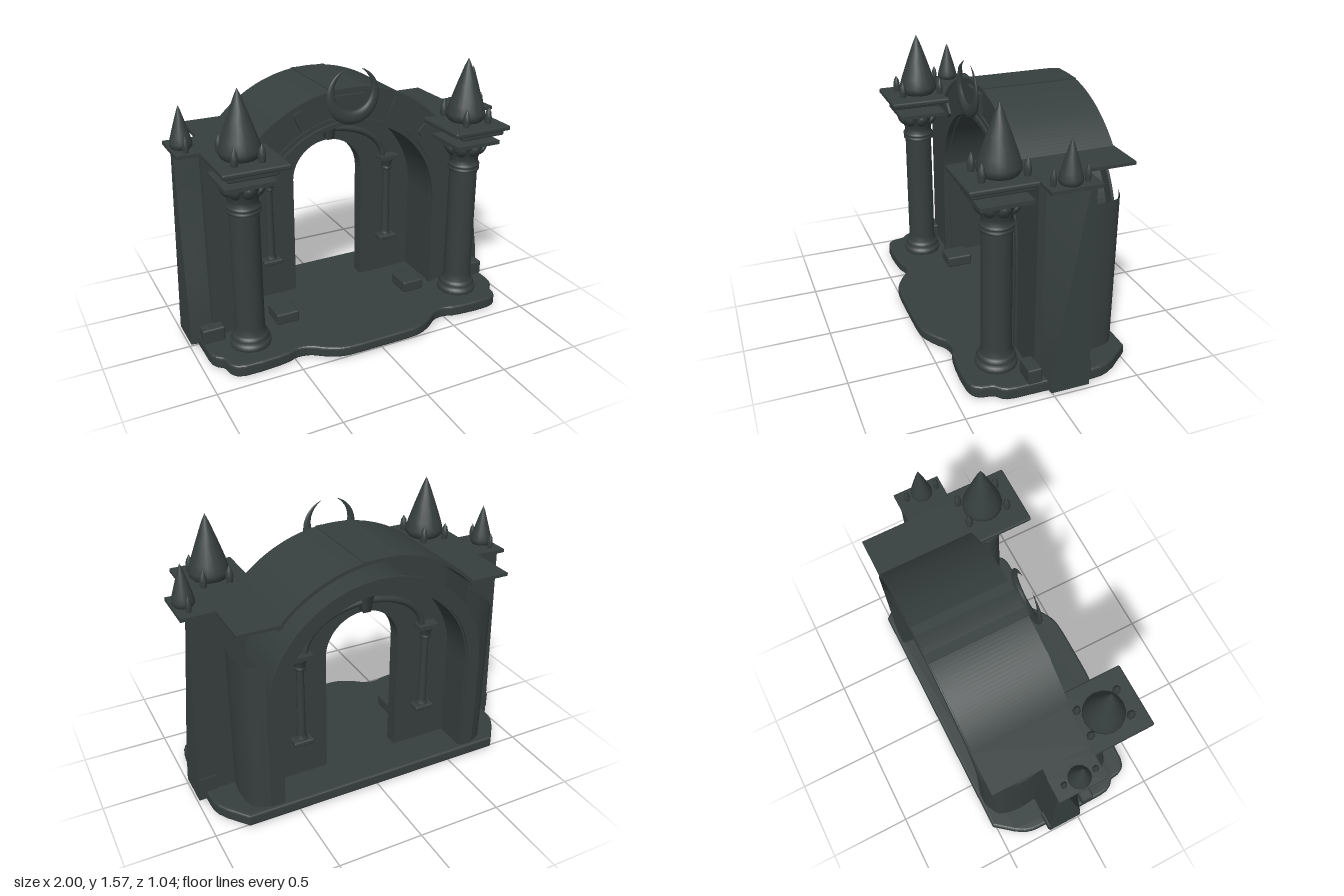
import * as THREE from 'three';
import { RoundedBoxGeometry } from 'three/addons/geometries/RoundedBoxGeometry.js';

const stone = new THREE.MeshStandardMaterial({ color: 0x363f3e, side: THREE.DoubleSide });
stone.name = 'dark slate stone';

const ARCH_Y = 0.66, ARCH_R = 0.59; // main arch
const ROOF_Y = 0.645, ROOF_R = 0.8, ROOF_A = 0.724; // vault curve and its end angle
const FLOOR = 0.075;

export function createModel() {
  const model = new THREE.Group();
  model.name = 'archedGateway';

  const add = (name, geo, x = 0, y = 0, z = 0, parent = model) => {
    const m = new THREE.Mesh(geo, stone);
    m.name = name;
    m.position.set(x, y, z);
    parent.add(m);
    return m;
  };
  const box = (name, w, h, d, x, y, z, parent) =>
    add(name, new THREE.BoxGeometry(w, h, d), x, y, z, parent);
  const lathe = (pts, seg = 24) =>
    new THREE.LatheGeometry(pts.map(([r, y]) => new THREE.Vector2(r, y)), seg);
  const extrude = (shape, depth) =>
    new THREE.ExtrudeGeometry(shape, { depth, bevelEnabled: false, curveSegments: 32 });

  // Closed band with legs following a round arch
  const archBand = (rIn, rOut, cy, y0) => {
    const s = new THREE.Shape();
    s.moveTo(rOut, y0);
    s.lineTo(rOut, cy);
    s.absarc(0, cy, rOut, 0, Math.PI, false);
    s.lineTo(-rOut, y0);
    s.lineTo(-rIn, y0);
    s.lineTo(-rIn, cy);
    s.absarc(0, cy, rIn, Math.PI, 0, true);
    s.lineTo(rIn, y0);
    return s;
  };

  // Floor slab with a bowed front step, its underside sagging towards both ends
  const half = [[0.14, 0.505], [0.25, 0.495], [0.34, 0.45], [0.41, 0.4], [0.49, 0.385], [0.56, 0.405], [0.83, 0.405],
    [0.865, 0.37], [0.88, 0.3], [0.925, 0.25], [0.935, 0.1], [0.935, -0.2], [0.92, -0.34], [0.8, -0.505]];
  const rim = new THREE.CatmullRomCurve3(half.map(([x, z]) => new THREE.Vector3(x, z, 0)), false, 'centripetal').getPoints(40);
  const outline = [...rim.map((v) => new THREE.Vector2(v.x, v.y)),
    ...rim.map((v) => new THREE.Vector2(-v.x, v.y)).reverse()];
  const slab = new THREE.ExtrudeGeometry(new THREE.Shape(outline),
    { depth: 0.045, bevelSize: 0.015, bevelThickness: 0.015, bevelSegments: 3 });
  slab.rotateX(Math.PI / 2);
  slab.translate(0, 0.06, 0);
  const sp = slab.attributes.position;
  for (let i = 0; i < sp.count; i++) {
    if (sp.getY(i) < 0.02) sp.setY(i, sp.getY(i) + 0.015 * Math.max(0, 1 - Math.abs(sp.getX(i)) / 0.935));
  }
  add('floorSlab', slab);

  // Front wall: flat shoulders, vault curve on top, arch cut out
  const front = new THREE.Shape();
  front.moveTo(0.87, 0.05);
  front.lineTo(0.87, 1.18);
  front.lineTo(0.6, 1.18);
  front.absarc(0, ROOF_Y, ROOF_R - 0.01, ROOF_A, Math.PI - ROOF_A, false);
  front.lineTo(-0.6, 1.18);
  front.lineTo(-0.87, 1.18);
  front.lineTo(-0.87, 0.05);
  front.lineTo(-ARCH_R, 0.05);
  front.lineTo(-ARCH_R, ARCH_Y);
  front.absarc(0, ARCH_Y, ARCH_R, Math.PI, 0, true);
  front.lineTo(ARCH_R, 0.05);
  add('frontFacade', extrude(front, 0.04), 0, 0, 0.025);

  // Rear arch face, tunnel lining and vault
  add('rearArchFace', extrude(archBand(ARCH_R, 0.67, ARCH_Y, 0.05), 0.015), 0, 0, -0.5);
  add('tunnelLining', extrude(archBand(ARCH_R - 0.01, ARCH_R + 0.01, ARCH_Y, 0.05), 0.53), 0, 0, -0.49);
  const roof = new THREE.Shape();
  roof.absarc(0, ROOF_Y, ROOF_R, ROOF_A, Math.PI - ROOF_A, false);
  roof.absarc(0, ROOF_Y, ROOF_R - 0.02, Math.PI - ROOF_A, ROOF_A, true);
  add('vaultRoof', extrude(roof, 0.57), 0, 0, -0.5);
  box('roofRidgeStrip', 0.22, 0.012, 0.57, 0, 1.437, -0.215);
  // Arch mouldings
  add('innerMoulding', extrude(archBand(0.575, 0.6, ARCH_Y, 0.07), 0.03), 0, 0, 0.055);
  add('outerMoulding', extrude(archBand(0.605, 0.63, ARCH_Y, 0.07), 0.015), 0, 0, 0.06);
  box('keystone', 0.2, 0.13, 0.03, 0, 1.345, 0.07);
  for (const a of [0.75, 1.13, Math.PI - 1.13, Math.PI - 0.75]) {
    const v = box('archBlock', 0.11, 0.05, 0.025, 0.7 * Math.cos(a), ARCH_Y + 0.7 * Math.sin(a), 0.067);
    v.rotation.z = a;
  }

  // Doorway wall set halfway into the tunnel
  const wall = new THREE.Shape();
  wall.moveTo(ARCH_R, 0.05);
  wall.lineTo(ARCH_R, ARCH_Y);
  wall.absarc(0, ARCH_Y, ARCH_R, 0, Math.PI, false);
  wall.lineTo(-ARCH_R, 0.05);
  wall.lineTo(-0.23, 0.05);
  wall.lineTo(-0.23, 0.82);
  wall.absarc(0, 0.82, 0.23, Math.PI, 0, true);
  wall.lineTo(0.23, 0.05);
  add('doorWall', extrude(wall, 0.08), 0, 0, -0.3);

  // Slender columns and round moulding on both faces of the doorway wall
  for (const z of [-0.195, -0.325]) {
    const hood = new THREE.Group();
    hood.name = 'doorSurround';
    hood.position.z = z;
    model.add(hood);
    const arc = [];
    for (let i = 0; i <= 16; i++) {
      const a = (i / 16) * Math.PI;
      arc.push(new THREE.Vector3(0.37 * Math.cos(a), 0.89 + 0.235 * Math.sin(a), 0));
    }
    add('hoodMoulding', new THREE.TubeGeometry(new THREE.CatmullRomCurve3(arc), 40, 0.02, 8), 0, 0, 0, hood);
    const key = add('hoodKeystone', new THREE.CylinderGeometry(0.048, 0.032, 0.1, 4), 0, 1.115, 0, hood);
    key.geometry.rotateY(Math.PI / 4);
    for (const s of [-1, 1]) {
      const x = 0.4 * s;
      add('slenderColumn', lathe([[0.035, 0.345], [0.035, 0.36], [0.025, 0.375], [0.021, 0.8],
        [0.033, 0.805], [0.033, 0.82], [0.025, 0.825], [0.045, 0.87]], 12), x, 0, 0, hood);
      add('columnFoot', new RoundedBoxGeometry(0.12, 0.03, 0.09, 1, 0.008), x, 0.332, 0, hood);
      box('columnTop', 0.125, 0.025, 0.09, x, 0.885, 0, hood);
    }
  }

  // Spire with small buds around its foot
  const spire = (x, z, r, h, buds, budR, budH) => {
    const g = new THREE.Group();
    g.name = 'spire';
    g.position.set(x, 1.2, z);
    model.add(g);
    add('spireCone', lathe([[r * 0.85, 0], [r, 0.06 * h], [r, 0.13 * h], [r * 0.87, 0.27 * h],
      [r * 0.55, 0.56 * h], [r * 0.2, 0.86 * h], [0, h]], 16), 0, 0, 0, g);
    for (const [bx, bz] of buds) {
      add('spireBud', lathe([[budR * 0.8, 0], [budR, 0.35 * budH], [budR * 0.75, 0.7 * budH], [0, budH]], 10), bx, 0, bz, g);
    }
  };

  // Plan of the curved side wall, from the pier to the rear arch
  const sidePlan = new THREE.CatmullRomCurve3([[0.775, -0.19], [0.785, -0.33], [0.755, -0.45], [0.665, -0.5]]
    .map(([x, z]) => new THREE.Vector3(x, 0, z)));

  for (const s of [-1, 1]) {
    const x = 0.7 * s;
    // Front column: moulded base, shaft with collar, flared capital
    add('frontColumn', lathe([[0.115, FLOOR], [0.12, 0.09], [0.115, 0.11], [0.1, 0.115], [0.108, 0.13], [0.1, 0.148],
      [0.088, 0.155], [0.085, 0.2], [0.083, 0.895], [0.094, 0.9], [0.094, 0.912], [0.085, 0.918], [0.094, 0.925],
      [0.094, 0.937], [0.084, 0.942], [0.084, 0.97], [0.1, 1.02], [0.128, 1.075]], 28), x, 0, 0.215);
    for (let i = 0; i < 8; i++) {
      const a = (i / 8) * Math.PI * 2;
      const leaf = add('capitalLeaf', new THREE.SphereGeometry(1, 8, 6),
        x + 0.108 * Math.sin(a), 1.035, 0.215 + 0.108 * Math.cos(a));
      leaf.scale.set(0.035, 0.042, 0.018);
      leaf.rotation.set(0.45, a, 0, 'YXZ');
    }
    box('capitalSlab', 0.29, 0.022, 0.29, x, 1.083, 0.215);

    // Cornice over the column and roof shelf behind it
    add('corniceLower', new RoundedBoxGeometry(0.28, 0.04, 0.34, 1, 0.01), x, 1.16, 0.23);
    add('corniceUpper', new RoundedBoxGeometry(0.37, 0.03, 0.37, 1, 0.01), 0.685 * s, 1.185, 0.235);
    box('roofShelf', 0.25, 0.018, 0.565, 0.685 * s, 1.19, -0.2225);
    box('roofShelfSide', 0.1, 0.018, 0.27, 0.82 * s, 1.19, -0.08);
    spire(x, 0.205, 0.115, 0.37, [[-0.075, -0.12], [0.075, -0.12], [-0.075, 0.12], [0.075, 0.12]], 0.022, 0.1);

    // Tapering side pier whose outer front edge leans back as it rises
    const pier = new THREE.BoxGeometry(0.2, 1.17, 0.26, 1, 6, 1);
    const p = pier.attributes.position;
    for (let i = 0; i < p.count; i++) {
      const t = p.getY(i) / 1.17 + 0.5;
      if (p.getX(i) * s < 0) continue;
      p.setX(i, s * (0.125 - 0.035 * t));
      if (p.getZ(i) > 0) p.setZ(i, 0.09 - 0.19 * Math.max(0, t - 0.1) / 0.9);
    }
    pier.computeVertexNormals();
    add('sidePier', pier, 0.87 * s, 0.605, -0.075);
    box('sidePierCap', 0.14, 0.02, 0.28, 0.93 * s, 1.19, -0.08);
    spire(0.935 * s, -0.07, 0.062, 0.235, [[0, 0.092], [0, -0.092]], 0.017, 0.09);

    // Thin curved side wall behind the pier, left open above
    const panel = new THREE.PlaneGeometry(1, 0.92, 12, 1);
    const q = panel.attributes.position;
    for (let i = 0; i < q.count; i++) {
      const c = sidePlan.getPoint(q.getX(i) + 0.5);
      q.setXYZ(i, s * c.x, q.getY(i), c.z);
    }
    if (s < 0) panel.index.array.reverse();
    panel.computeVertexNormals();
    add('sideWall', panel, 0, 0.52, 0);

    // Loose blocks on the floor
    add('floorBlock', new RoundedBoxGeometry(0.14, 0.07, 0.16, 1, 0.01), 0.43 * s, 0.108, 0.055);
    add('sideBlock', new RoundedBoxGeometry(0.13, 0.09, 0.08, 1, 0.01), 0.885 * s, 0.115, 0.09);
    box('pierFoot', 0.1, 0.1, 0.03, 0.94 * s, 0.12, -0.2);
  }

  // Crescent: a ring whose section thins out to two upward points
  const U = 40, V = 10;
  const moon = new THREE.TorusGeometry(1, 0.5, V, U);
  const mp = moon.attributes.position;
  for (let j = 0; j <= V; j++) for (let i = 0; i <= U; i++) {
    const k = (i / U) * 2 - 1;
    const a = k * 2.83 - Math.PI / 2;
    const b = (j / V) * Math.PI * 2;
    const w = 0.04 * Math.cos(k * Math.PI / 2) + 0.0005;
    const r = 0.163 - w + w * Math.cos(b);
    mp.setXYZ(j * (U + 1) + i, r * Math.cos(a), r * Math.sin(a), w * 0.5 * Math.sin(b));
  }
  moon.computeVertexNormals();
  add('crescent', moon, 0, 1.41, 0.118);
  box('crescentMount', 0.05, 0.05, 0.06, 0, 1.29, 0.085);

  return model;
}
